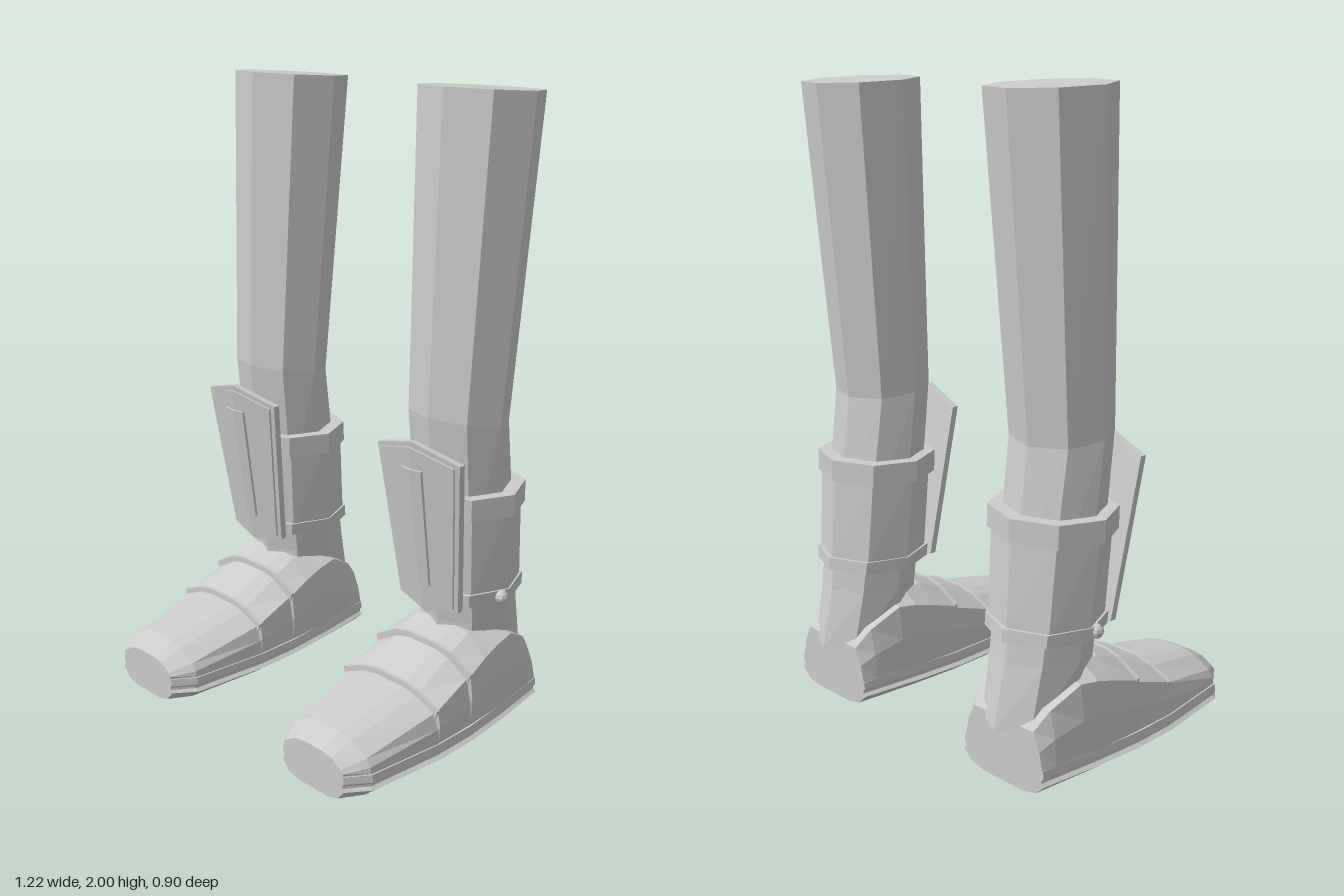
import * as THREE from 'three';

const material = new THREE.MeshStandardMaterial({ color: 0xcccccc, flatShading: true });

// Skin a list of closed rings (counter-clockwise seen from the far end) and cap both ends
function loft(name, rings) {
  const pos = [];
  const tri = (...pts) => pts.forEach(p => pos.push(...p));
  const n = rings[0].length;
  const centre = r => [0, 1, 2].map(k => r.reduce((s, p) => s + p[k], 0) / n);
  const first = rings[0], last = rings[rings.length - 1];
  const c0 = centre(first), c1 = centre(last);
  for (let j = 0; j < n; j++) {
    const k = (j + 1) % n;
    for (let i = 0; i < rings.length - 1; i++) {
      const a = rings[i], b = rings[i + 1];
      tri(a[j], a[k], b[k]);
      tri(a[j], b[k], b[j]);
    }
    tri(c0, first[k], first[j]);
    tri(c1, last[j], last[k]);
  }
  const geo = new THREE.BufferGeometry();
  geo.setAttribute('position', new THREE.Float32BufferAttribute(pos, 3));
  geo.computeVertexNormals();
  const mesh = new THREE.Mesh(geo, material);
  mesh.name = name;
  return mesh;
}

// Octagonal ring with corners at front and sides; front and back heights may differ
function octagon([yFront, yBack, halfWidth, zFront, zBack]) {
  return Array.from({ length: 8 }, (_, i) => {
    const t = i * Math.PI / 4, f = (1 + Math.cos(t)) / 2;
    return [halfWidth * Math.sin(t), yBack + (yFront - yBack) * f, zBack + (zFront - zBack) * f];
  });
}
const tube = (name, rows) => loft(name, rows.map(octagon));

// Mirror a half section (bottom to top, +x side) into a full ring at depth z
function section(z, half) {
  const right = half.map(([x, y]) => [x, y, z]);
  const left = half.map(([x, y]) => [-x, y, z]).reverse();
  return [...right, ...left];
}

// Plate creased along its middle and leaning forward at the top
function creasedPlate(name, topW, botW, topSide, topMid, botSide, botMid, front, thick) {
  const z = (x, y) => -0.037 + (y - 0.41) * 0.15 - Math.abs(x) * 0.18 + front;
  const ring = (xt, xb, yt, yb) => [
    [xb, yb, z(xb, yb) - thick], [xt, yt, z(xt, yt) - thick],
    [xt, yt, z(xt, yt)], [xb, yb, z(xb, yb)]];
  return loft(name, [
    ring(-topW, -botW, topSide, botSide), ring(0, 0, topMid, botMid), ring(topW, botW, topSide, botSide)]);
}

function createShoe() {
  const shoe = new THREE.Group();
  shoe.name = 'shoe';

  // Sole with a rounded underside and a groove round the edge: z, half width
  const outline = [[-0.41, 0.165], [-0.2, 0.195], [-0.03, 0.211], [0.12, 0.211], [0.38, 0.182], [0.45, 0.13]];
  shoe.add(loft('sole', outline.map(([z, w]) => section(z, [
    [w * 0.5, 0], [w * 0.8, 0.012], [w, 0.043], [w * 0.94, 0.052],
    [w * 0.94, 0.06], [w * 0.985, 0.068], [w * 0.97, 0.092]]))));

  // Upper: z, base half width, ridge x, ridge y, shoulder x, shoulder y, top y
  const upper = [
    [-0.41, 0.158, 0.12, 0.2, 0.07, 0.2, 0.2],
    [-0.36, 0.168, 0.14, 0.255, 0.1, 0.255, 0.25],
    [-0.26, 0.182, 0.168, 0.312, 0.11, 0.32, 0.32],
    [-0.19, 0.192, 0.172, 0.3, 0.11, 0.34, 0.345],
    [-0.12, 0.196, 0.178, 0.28, 0.105, 0.338, 0.35],
    [-0.035, 0.2, 0.192, 0.255, 0.11, 0.302, 0.318],
    [-0.03, 0.2, 0.182, 0.245, 0.105, 0.29, 0.302],
    [0.115, 0.202, 0.192, 0.198, 0.115, 0.23, 0.242],
    [0.12, 0.202, 0.182, 0.188, 0.11, 0.22, 0.23],
    [0.38, 0.173, 0.152, 0.135, 0.09, 0.168, 0.178],
    [0.45, 0.123, 0.115, 0.112, 0.075, 0.135, 0.142]];
  shoe.add(loft('shoeUpper', upper.map(([z, w, rx, ry, sx, sy, ty]) => section(z, [
    [w, 0.07], [w * 0.99, 0.095], [(w + rx) / 2 + 0.006, (ry + 0.09) / 2], [rx, ry], [sx, sy], [sx * 0.5, ty]]))));

  // Thin seam lips standing out across the instep
  for (const [z, w, y, t] of [[-0.033, 0.196, 0.262, 0.308], [0.117, 0.197, 0.2, 0.236]]) {
    const lip = [[w * 0.9, y - 0.06], [w, y], [w * 0.58, t], [w * 0.3, t + 0.012]];
    shoe.add(loft('seamLip', [section(z - 0.006, lip), section(z + 0.006, lip)]));
  }
  return shoe;
}

function createLeg(side) {
  const leg = new THREE.Group();
  leg.name = side > 0 ? 'leftLeg' : 'rightLeg';

  // Trouser leg, bent at the knee: front y, back y, half width, front z, back z
  leg.add(tube('trouserLeg', [
    [0.2, 0.175, 0.14, -0.1, -0.449], [0.36, 0.37, 0.15, -0.095, -0.405], [0.6, 0.6, 0.155, -0.07, -0.37],
    [1.04, 1.0, 0.163, -0.03, -0.312], [2.0, 1.98, 0.197, -0.06, -0.4]]));

  // Shin guard sleeve and its straps
  leg.add(tube('shinSleeve', [[0.46, 0.46, 0.172, -0.06, -0.4], [0.77, 0.77, 0.186, -0.04, -0.375]]));
  leg.add(tube('upperStrap', [[0.735, 0.735, 0.2, -0.022, -0.389], [0.805, 0.805, 0.2, -0.02, -0.387]]));
  leg.add(tube('lowerStrap', [[0.44, 0.44, 0.176, -0.045, -0.416], [0.48, 0.48, 0.178, -0.042, -0.412]]));

  const stud = new THREE.Mesh(new THREE.SphereGeometry(0.022, 8, 6), material);
  stud.name = 'strapStud';
  stud.position.set(side * 0.17, 0.46, -0.2);
  leg.add(stud);

  // Shin plate: rim, raised face and central strip
  const plate = new THREE.Group();
  plate.name = 'shinPlate';
  plate.add(
    creasedPlate('plateRim', 0.163, 0.118, 0.94, 0.987, 0.435, 0.408, 0, 0.022),
    creasedPlate('plateFace', 0.147, 0.105, 0.93, 0.97, 0.446, 0.422, 0.007, 0.015),
    creasedPlate('plateStrip', 0.04, 0.034, 0.9, 0.9, 0.51, 0.51, 0.016, 0.014));
  leg.add(plate, createShoe());

  leg.position.x = side * 0.397;
  return leg;
}

export function createModel() {
  const model = new THREE.Group();
  model.name = 'armouredLegs';
  for (const side of [1, -1]) model.add(createLeg(side));
  return model;
}
